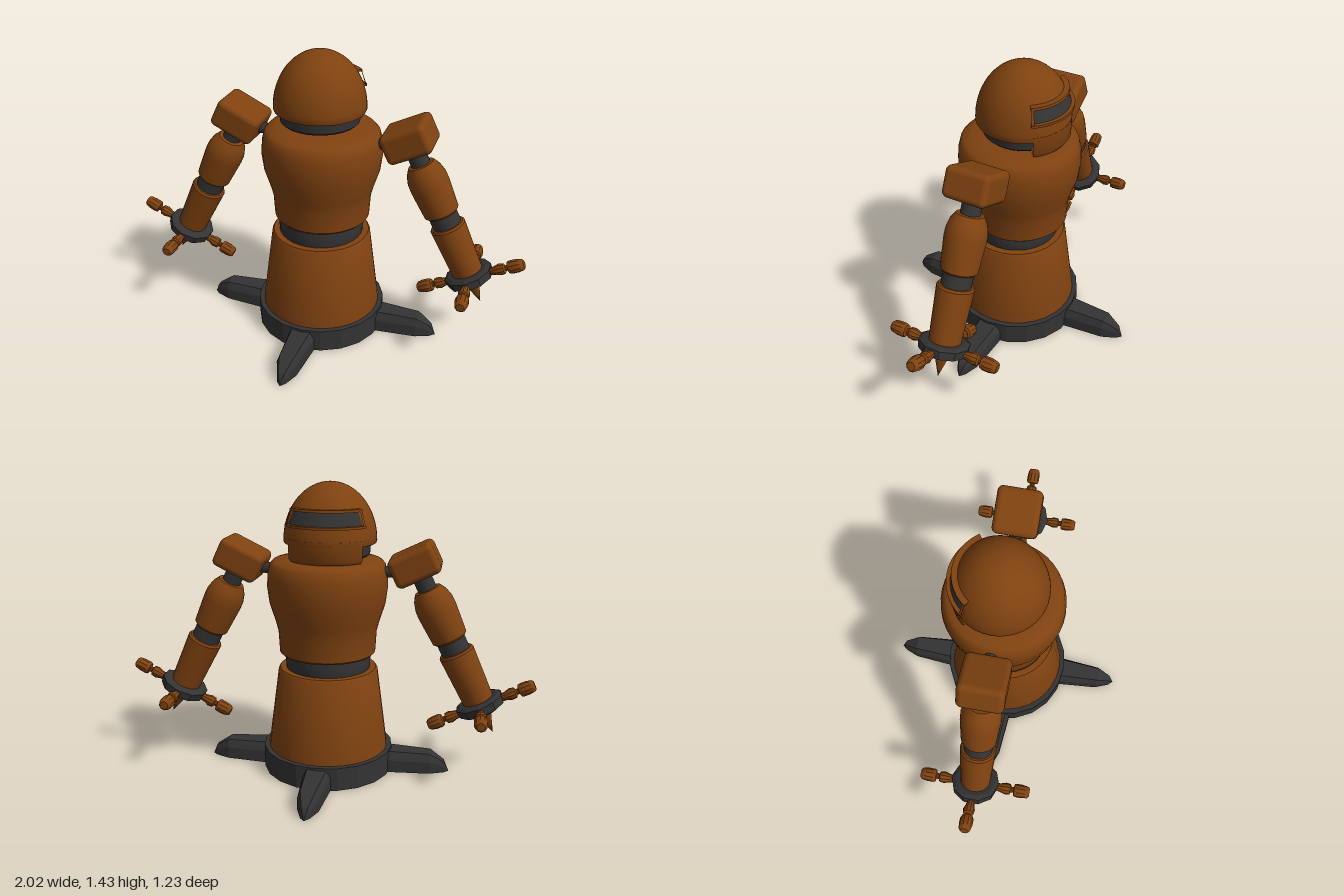
import * as THREE from 'three';
import { toCreasedNormals } from 'three/addons/utils/BufferGeometryUtils.js';
import { RoundedBoxGeometry } from 'three/addons/geometries/RoundedBoxGeometry.js';
import { ConvexGeometry } from 'three/addons/geometries/ConvexGeometry.js';

const brown = new THREE.MeshStandardMaterial({ color: 0x7f4210, side: THREE.DoubleSide });
const dark = new THREE.MeshStandardMaterial({ color: 0x333333, side: THREE.DoubleSide });

function addMesh(parent, name, geometry, material, x = 0, y = 0, z = 0) {
  const mesh = new THREE.Mesh(geometry, material);
  mesh.name = name;
  mesh.position.set(x, y, z);
  parent.add(mesh);
  return mesh;
}

// Profile of [radius, y] pairs, listed from bottom to top
function turned(profile, sides = 32, start = 0, length = Math.PI * 2, crease = 0.6) {
  const points = profile.map(([r, y]) => new THREE.Vector2(r, y));
  return toCreasedNormals(new THREE.LatheGeometry(points, sides, start, length), crease);
}

// Strip of a turned shape, centred on the back and turned aside by an offset
function backArc(profile, halfAngle, offset = 0) {
  return turned(profile, 20, Math.PI - halfAngle + offset, halfAngle * 2);
}

function buildBase() {
  const base = new THREE.Group();
  base.name = 'base';
  addMesh(base, 'baseRing', turned(
    [[0.285, 0.115], [0.285, 0], [0.325, 0], [0.325, 0.115], [0.285, 0.115]], 20, 0, Math.PI * 2, 0.25), dark);
  // Four pointed feet: hull of shrinking cross-sections [reach, half width, height]
  const sections = [[0.28, 0.07, 0.105], [0.52, 0.05, 0.098], [0.59, 0.022, 0.055]];
  const points = [new THREE.Vector3(0, 0, 0.615)];
  for (const [reach, w, h] of sections) {
    for (const s of [-1, 1]) {
      points.push(new THREE.Vector3(s * w, 0, reach),
        new THREE.Vector3(s * w, h * 0.6, reach),
        new THREE.Vector3(s * w * 0.7, h, reach));
    }
  }
  const foot = new ConvexGeometry(points);
  for (let i = 0; i < 4; i++) {
    addMesh(base, 'foot', foot, dark).rotation.y = i * Math.PI / 2;
  }
  // Hollow skirt, open at the bottom
  addMesh(base, 'skirt', turned(
    [[0.3, 0.06], [0.298, 0.125], [0.246, 0.515], [0.238, 0.527], [0.19, 0.527]]), brown);
  return base;
}

function buildHead() {
  const head = new THREE.Group();
  head.name = 'head';
  head.position.set(-0.015, 0, -0.028);
  addMesh(head, 'neck', turned([[0.08, 1.05], [0.11, 1.075], [0.115, 1.1]]), dark);
  addMesh(head, 'collar', turned(
    [[0, 1.09], [0.18, 1.09], [0.19, 1.1], [0.194, 1.157], [0, 1.157]]), dark);
  // Egg-shaped dome with a flat underside
  const dome = [[0, 1.152], [0.218, 1.152]];
  for (let i = 0; i <= 16; i++) {
    const a = i / 16 * Math.PI / 2;
    dome.push([0.222 * Math.cos(a), 1.16 + 0.275 * Math.sin(a)]);
  }
  addMesh(head, 'dome', turned(dome, 40), brown);
  // Mask hanging below the dome at the back
  addMesh(head, 'mask', backArc(
    [[0.19, 1.075], [0.21, 1.075], [0.22, 1.09], [0.222, 1.18], [0.19, 1.18], [0.19, 1.075]], 0.9), brown);
  // Visor: dark slit, upper and lower lips and end bars
  addMesh(head, 'visorSlit', backArc([[0.215, 1.248], [0.187, 1.314]], 0.92), dark);
  addMesh(head, 'visorLowerLip', backArc(
    [[0.19, 1.238], [0.232, 1.238], [0.232, 1.25], [0.19, 1.25], [0.19, 1.238]], 0.95), brown);
  addMesh(head, 'visorUpperLip', backArc(
    [[0.16, 1.311], [0.207, 1.311], [0.205, 1.323], [0.16, 1.323], [0.16, 1.311]], 0.95), brown);
  for (const s of [-1, 1]) {
    addMesh(head, 'visorEnd', backArc(
      [[0.19, 1.24], [0.23, 1.24], [0.203, 1.32], [0.16, 1.32], [0.19, 1.24]], 0.03, s * 0.92), brown);
  }
  return head;
}

function buildHand() {
  const hand = new THREE.Group();
  hand.name = 'hand';
  addMesh(hand, 'palm', turned(
    [[0, -0.045], [0.07, -0.035], [0.115, -0.015], [0.12, 0.025], [0.1, 0.035], [0, 0.035]],
    10, 0, Math.PI * 2, 0.2), dark);
  const spike = addMesh(hand, 'palmSpike', new THREE.ConeGeometry(0.043, 0.13, 8), brown, 0, -0.085, 0);
  spike.rotation.x = Math.PI;
  // Jointed fingers pointing outwards in a cross
  const finger = turned([[0, 0.09], [0.018, 0.1], [0.021, 0.13], [0.029, 0.155], [0.026, 0.178],
    [0.014, 0.184], [0.014, 0.195], [0.029, 0.199], [0.033, 0.21], [0.033, 0.24],
    [0.028, 0.268], [0.02, 0.276], [0, 0.276]], 10);
  for (let i = 0; i < 4; i++) {
    const pivot = new THREE.Group();
    pivot.name = 'fingerPivot';
    pivot.rotation.y = i * Math.PI / 2;
    addMesh(pivot, 'finger', finger, brown).rotation.z = -Math.PI / 2;
    hand.add(pivot);
  }
  return hand;
}

// Arm hanging down its own -y axis from the shoulder block
function buildArm(side) {
  const arm = new THREE.Group();
  arm.name = side > 0 ? 'leftArm' : 'rightArm';
  arm.position.set(side * 0.42, 1.06, -0.025);
  arm.rotation.z = side * THREE.MathUtils.degToRad(26);
  addMesh(arm, 'shoulder', new RoundedBoxGeometry(0.225, 0.145, 0.215, 4, 0.028), brown);
  addMesh(arm, 'shoulderJoint', new THREE.CylinderGeometry(0.046, 0.046, 0.12, 20), dark, 0, -0.11, 0);
  addMesh(arm, 'upperArm', turned([[0, -0.402], [0.076, -0.402], [0.086, -0.392], [0.096, -0.25],
    [0.095, -0.21], [0.084, -0.17], [0.064, -0.136], [0, -0.132]], 24), brown);
  addMesh(arm, 'elbow', new THREE.CylinderGeometry(0.07, 0.07, 0.1, 24), dark, 0, -0.435, 0);
  addMesh(arm, 'forearm', turned([[0, -0.755], [0.074, -0.755], [0.087, -0.475],
    [0.08, -0.465], [0, -0.465]], 24), brown);
  const hand = buildHand();
  hand.position.y = -0.765;
  arm.add(hand);
  return arm;
}

export function createModel() {
  const model = new THREE.Group();
  model.name = 'robot';
  model.add(buildBase());
  addMesh(model, 'waist', turned([[0.2, 0.5], [0.208, 0.53], [0.21, 0.57], [0.207, 0.62]]), dark);
  // Barrel-shaped chest with a rounded shoulder rim
  addMesh(model, 'torso', turned([[0, 0.605], [0.225, 0.605], [0.235, 0.615], [0.241, 0.72],
    [0.254, 0.77], [0.282, 0.86], [0.292, 0.94], [0.289, 1.0], [0.278, 1.045], [0.262, 1.062],
    [0.22, 1.072], [0.15, 1.078], [0, 1.078]], 40), brown, 0, 0, -0.016);
  model.add(buildHead());
  for (const side of [-1, 1]) {
    const axle = addMesh(model, 'shoulderAxle',
      new THREE.CylinderGeometry(0.027, 0.027, 0.16, 16), dark, side * 0.31, 1.015, -0.022);
    axle.rotation.z = Math.PI / 2;
    model.add(buildArm(side));
  }
  return model;
}
